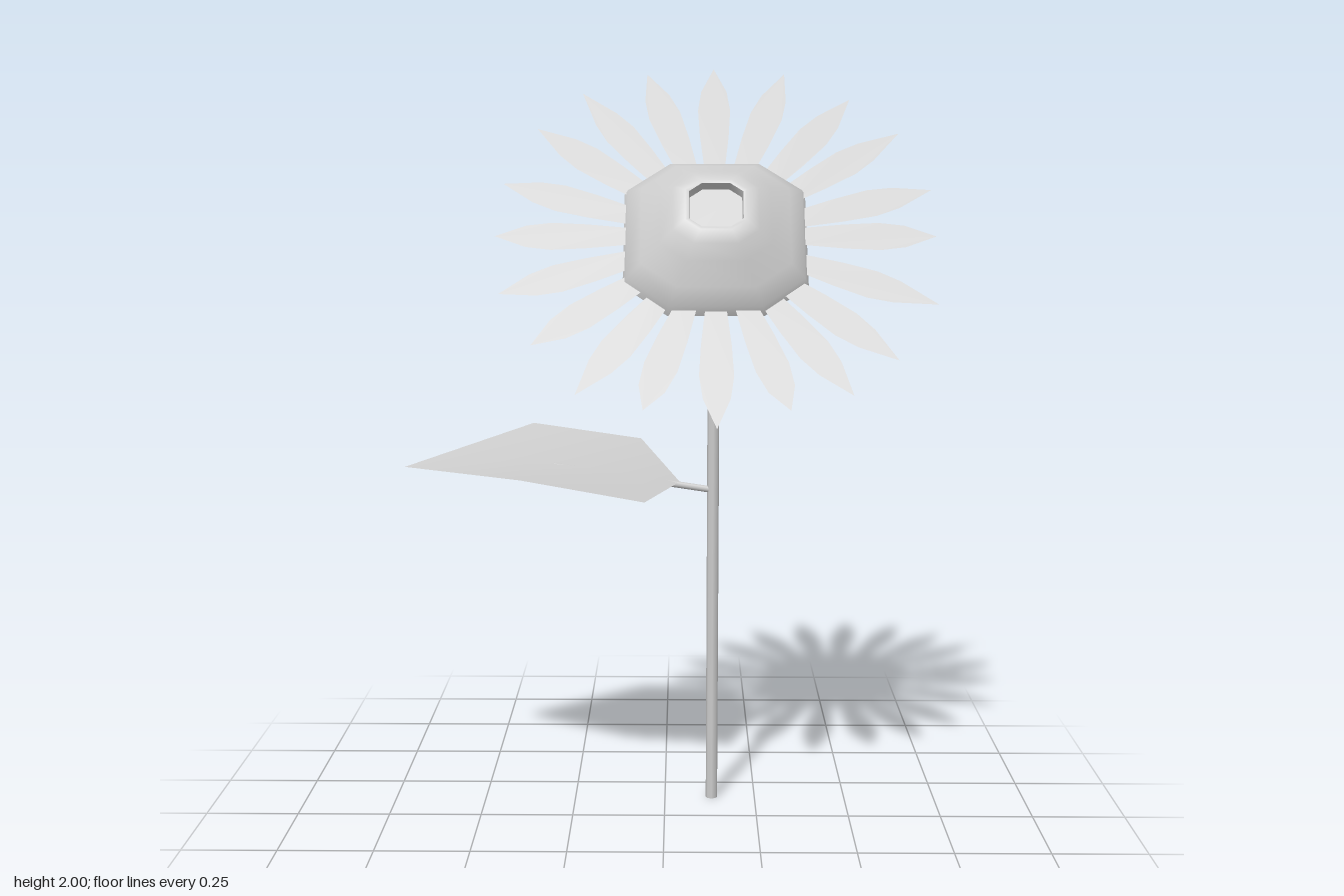
import * as THREE from 'three';
import { toCreasedNormals } from 'three/addons/utils/BufferGeometryUtils.js';

const material = new THREE.MeshStandardMaterial({ color: 0xcccccc });
const thin = new THREE.MeshStandardMaterial({ color: 0xcccccc, side: THREE.DoubleSide });

function addMesh(parent, name, geometry, mat = material) {
  const mesh = new THREE.Mesh(geometry, mat);
  mesh.name = name;
  parent.add(mesh);
  return mesh;
}

// Straight round rod between two points
function addRod(parent, name, from, to, radius) {
  const a = new THREE.Vector3(...from), b = new THREE.Vector3(...to);
  const dir = b.clone().sub(a);
  const rod = addMesh(parent, name, new THREE.CylinderGeometry(radius, radius, dir.length(), 8));
  rod.position.copy(a).add(b).multiplyScalar(0.5);
  rod.quaternion.setFromUnitVectors(new THREE.Vector3(0, 1, 0), dir.normalize());
}

// Eight-sided seed head: a domed profile with a small recess on top
function seedHeadGeometry() {
  const profile = [[0, -0.012], [0.235, -0.012], [0.225, 0.015], [0.19, 0.05], [0.14, 0.09],
    [0.108, 0.12], [0.077, 0.136], [0.068, 0.134], [0.066, 0.11], [0, 0.11]];
  const geo = new THREE.LatheGeometry(profile.map(p => new THREE.Vector2(...p)), 8, Math.PI / 8);
  const pos = geo.attributes.position;
  // Reshape the regular octagon into a square with cut corners
  for (let i = 0; i < pos.count; i++) {
    const x = pos.getX(i), z = pos.getZ(i), r = Math.hypot(x, z);
    const wide = Math.abs(x) > Math.abs(z);
    pos.setX(i, Math.sign(x) * r * (wide ? 1 : 0.52));
    pos.setZ(i, Math.sign(z) * r * (wide ? 0.62 : 1));
  }
  geo.rotateX(Math.PI / 2);
  return toCreasedNormals(geo, 0.9);
}

// Flat pointed petal running along +y
function petalGeometry(tip) {
  const half = [[0.026, 0.215], [0.038, 0.33], [0.043, 0.42], [0.034, 0.485]];
  const outline = [...half, [0, tip], ...half.map(([x, y]) => [-x, y]).reverse()];
  return new THREE.ShapeGeometry(new THREE.Shape(outline.map(p => new THREE.Vector2(...p))));
}

// Leaf surface: base, two cross-sections (back, midrib, front) and tip
function leafGeometry() {
  const points = [
    [0.04, 0.897, -0.145],
    [-0.07, 0.978, -0.375], [-0.06, 0.92, -0.13], [-0.05, 0.897, 0.135],
    [-0.37, 1.03, -0.325], [-0.38, 0.962, -0.11], [-0.37, 0.95, 0.115],
    [-0.7, 0.945, -0.1],
  ];
  const faces = [0, 1, 2, 0, 2, 3, 7, 5, 4, 7, 6, 5];
  for (const i of [1, 2]) faces.push(i, i + 3, i + 4, i, i + 4, i + 1);
  const geo = new THREE.BufferGeometry();
  geo.setAttribute('position', new THREE.Float32BufferAttribute(points.flat(), 3));
  geo.setIndex(faces);
  geo.computeVertexNormals();
  return geo;
}

export function createModel() {
  const model = new THREE.Group();
  model.name = 'flower';

  // Stem with a bent neck
  addRod(model, 'stem', [0.13, 0, -0.14], [0.13, 1.36, -0.14], 0.016);
  addRod(model, 'neck', [0.13, 1.35, -0.143], [0.13, 1.565, 0.005], 0.014);

  // Leaf on its stalk
  addRod(model, 'leafStalk', [0.13, 0.876, -0.14], [-0.3, 0.945, -0.12], 0.009);
  addMesh(model, 'leaf', leafGeometry(), thin);

  // Blossom tilted back to face upward
  const blossom = new THREE.Group();
  blossom.name = 'blossom';
  blossom.position.set(0.13, 1.565, 0.01);
  blossom.rotation.x = -0.692;
  model.add(blossom);
  addMesh(blossom, 'seedHead', seedHeadGeometry());

  // Petals: clockwise angle in degrees and tip radius
  const petals = [
    [0, 0.565], [19.3, 0.577], [38.5, 0.584], [55.3, 0.593], [74.9, 0.582],
    [90, 0.565], [110.5, 0.595], [130, 0.585], [145, 0.581], [161, 0.55],
    [180, 0.57], [199, 0.55], [216, 0.587], [234, 0.567], [252, 0.575],
    [270, 0.565], [287.3, 0.578], [307, 0.588], [323.6, 0.595], [341.7, 0.573],
  ];
  petals.forEach(([angle, tip], i) => {
    const petal = addMesh(blossom, 'petal' + (i + 1), petalGeometry(tip), thin);
    petal.rotation.z = -THREE.MathUtils.degToRad(angle);
    petal.position.z = (i % 2) * 0.003;
  });

  return model;
}
